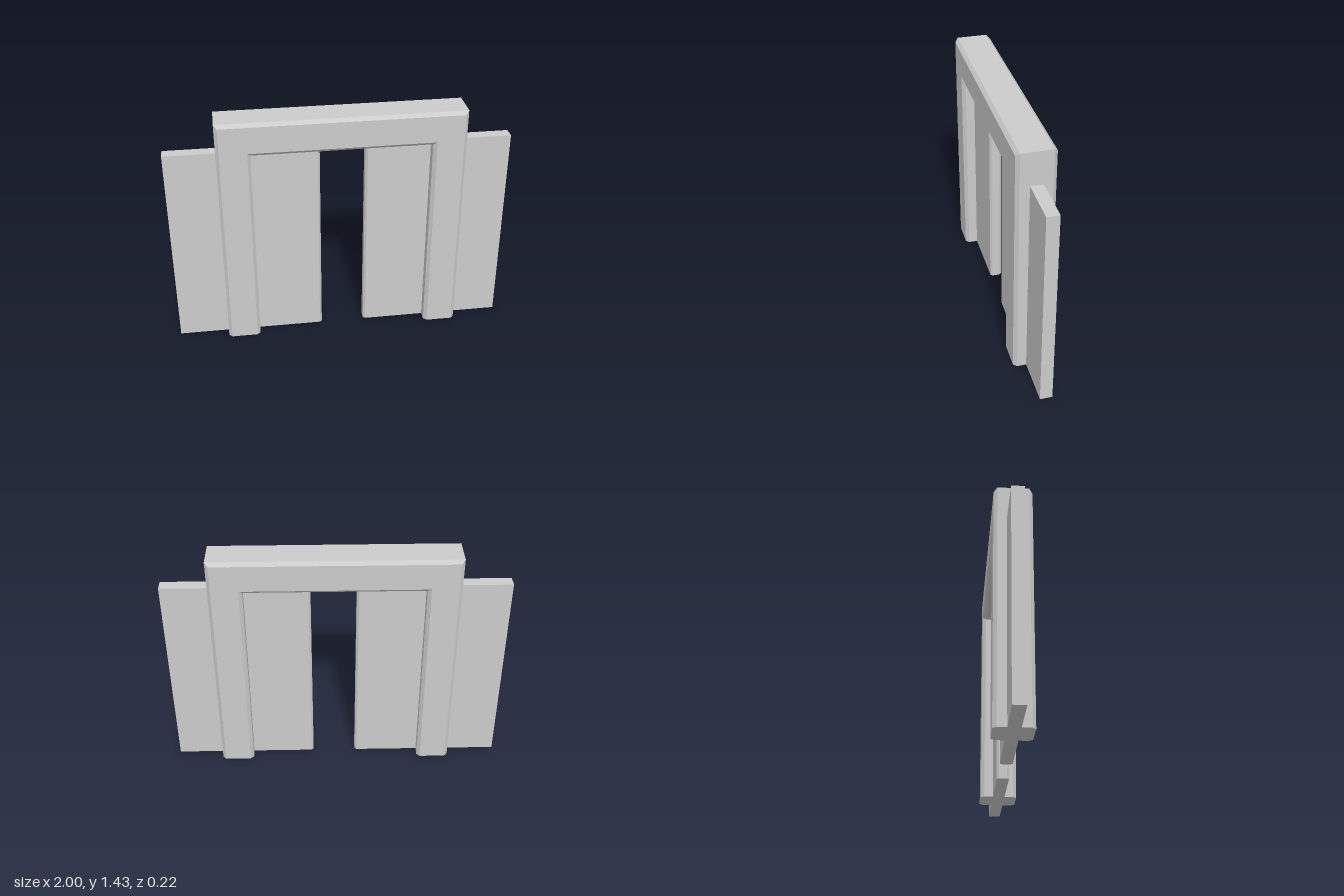
import * as THREE from 'three';

const material = new THREE.MeshStandardMaterial({ color: 0xcccccc, flatShading: true });

// Chamfered section swept along an upside-down U, mitred at the corners
function frameGeometry() {
  const outer = [[-0.703, 0], [-0.703, 1.43], [0.722, 1.43], [0.722, 0]];
  const inner = [[-0.508, 0], [-0.508, 1.232], [0.527, 1.232], [0.527, 0]];
  // [fraction from outer to inner edge, z]
  const section = [[0, 0.09], [0.1, 0.11], [0.9, 0.11], [1, 0.09],
    [1, -0.09], [0.9, -0.11], [0.1, -0.11], [0, -0.09]];
  const n = section.length;
  const rings = outer.map(([ox, oy], i) => section.map(([t, z]) => [
    ox + (inner[i][0] - ox) * t, oy + (inner[i][1] - oy) * t, z]));
  const pos = [];
  const tri = (a, b, c) => pos.push(...a, ...b, ...c);
  for (let i = 0; i < 3; i++) {
    for (let j = 0; j < n; j++) {
      const k = (j + 1) % n;
      tri(rings[i][j], rings[i][k], rings[i + 1][k]);
      tri(rings[i][j], rings[i + 1][k], rings[i + 1][j]);
    }
  }
  // Flat feet
  for (let j = 1; j < n - 1; j++) {
    tri(rings[0][0], rings[0][j + 1], rings[0][j]);
    tri(rings[3][0], rings[3][j], rings[3][j + 1]);
  }
  const geometry = new THREE.BufferGeometry();
  geometry.setAttribute('position', new THREE.Float32BufferAttribute(pos, 3));
  geometry.computeVertexNormals();
  return geometry;
}

// Sliding panel: plan outline with a chamfered leading edge, extruded upwards
function panelGeometry(outerX, innerX) {
  const d = 0.036, c = 0.013;
  const cx = innerX - Math.sign(innerX - outerX) * c;
  const shape = new THREE.Shape([[outerX, -d], [cx, -d], [innerX, -d + c],
    [innerX, d - c], [cx, d], [outerX, d]].map(([x, y]) => new THREE.Vector2(x, y)));
  return new THREE.ExtrudeGeometry(shape, { depth: 1.232, bevelEnabled: false })
    .rotateX(-Math.PI / 2);
}

export function createModel() {
  const group = new THREE.Group();
  group.name = 'slidingDoorway';
  const add = (name, geometry) => {
    const mesh = new THREE.Mesh(geometry, material);
    mesh.name = name;
    group.add(mesh);
  };
  add('doorFrame', frameGeometry());
  add('rightDoorPanel', panelGeometry(-1, -0.115));
  add('leftDoorPanel', panelGeometry(1, 0.148));
  return group;
}
